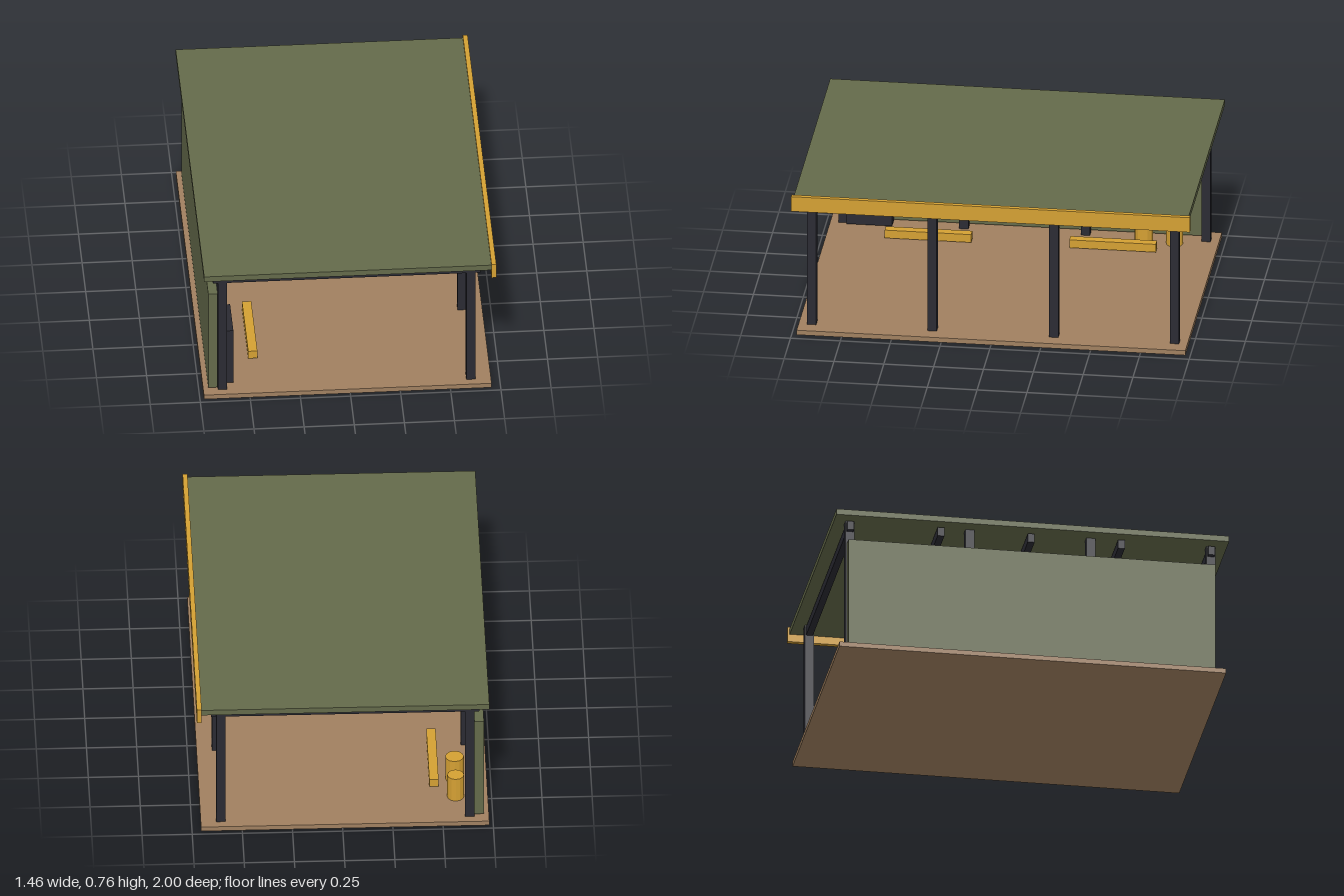
import * as THREE from 'three';

export function createModel() {
  const model = new THREE.Group();
  model.name = 'openShelter';

  const paint = (color, flatShading = false) => new THREE.MeshStandardMaterial({ color, flatShading });
  const green = paint(0x646a4a);
  const dark = paint(0x2a2a32);
  const tan = paint(0xa08060);
  const yellow = paint(0xd4a033);
  const barrelYellow = paint(0xd4a033, true);

  // Box given by its extents along each axis
  const box = (name, material, [x0, x1], [y0, y1], [z0, z1]) => {
    const mesh = new THREE.Mesh(new THREE.BoxGeometry(x1 - x0, y1 - y0, z1 - z0), material);
    mesh.position.set((x0 + x1) / 2, (y0 + y1) / 2, (z0 + z1) / 2);
    mesh.name = name;
    model.add(mesh);
  };
  const around = (c, width) => [c - width / 2, c + width / 2];

  // Floor, roof and the fascia board along the open side
  box('floor', tan, [-0.73, 0.705], [0, 0.025], [-0.975, 0.975]);
  box('roof', green, [-0.73, 0.705], [0.723, 0.753], [-0.99, 0.99]);
  box('fascia', yellow, [0.703, 0.727], [0.683, 0.763], [-1, 1]);

  // Two rows of posts
  for (const x of [-0.634, 0.605]) {
    for (const z of [-0.91, -0.305, 0.305, 0.91]) {
      box('post', dark, around(x, 0.046), [0.025, 0.723], around(z, 0.046));
    }
  }

  // Cross beams under the roof
  for (const z of [-0.91, -0.455, 0, 0.455, 0.91]) {
    box('crossBeam', dark, [-0.682, 0.653], [0.667, 0.713], around(z, 0.034));
  }

  // Hanging ceiling strips
  for (const z of [-0.2, 0.2]) {
    box('ceilingStrip', tan, [-0.197, 0.168], [0.655, 0.668], around(z, 0.024));
  }

  // Back wall panel and the cabinet against it
  box('wallPanel', green, [-0.705, -0.658], [0.035, 0.602], [-0.925, 0.925]);
  box('cabinet', dark, [-0.66, -0.577], [0.035, 0.35], [0.66, 0.89]);

  // Low benches
  for (const z of [-0.463, 0.463]) {
    box('bench', yellow, [-0.488, -0.442], [0.03, 0.073], around(z, 0.434));
  }

  // Barrels
  for (const [x, z, r] of [[-0.57, -0.603, 0.046], [-0.57, -0.758, 0.042]]) {
    const barrel = new THREE.Mesh(new THREE.CylinderGeometry(r, r, 0.133, 12), barrelYellow);
    barrel.position.set(x, 0.0915, z);
    barrel.name = 'barrel';
    model.add(barrel);
  }

  return model;
}
